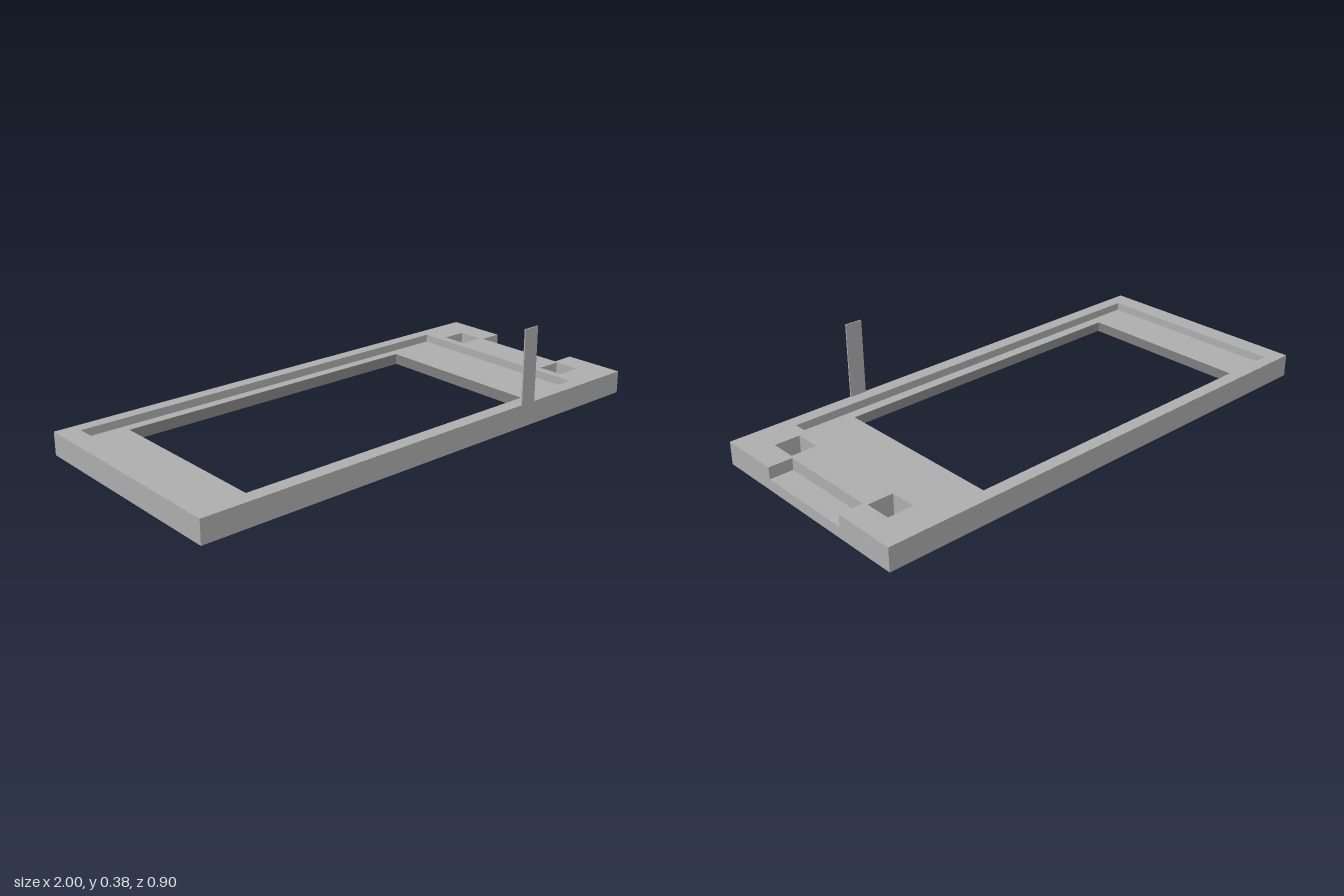
import * as THREE from 'three';

// Rectangle as a loop of [x, z], ordered so its walls face outward
const rect = (x0, x1, z0, z1) => [[x0, z1], [x1, z1], [x1, z0], [x0, z0]];
const reversed = (loop) => [...loop].reverse();

// Ring of flat walls joining a lower loop to an upper loop
function wallGeometry(low, yLow, high, yHigh) {
  const pos = [];
  low.forEach((p, i) => {
    const j = (i + 1) % low.length;
    const a = [low[i][0], yLow, low[i][1]], b = [low[j][0], yLow, low[j][1]];
    const c = [high[j][0], yHigh, high[j][1]], d = [high[i][0], yHigh, high[i][1]];
    pos.push(...a, ...b, ...c, ...a, ...c, ...d);
  });
  const g = new THREE.BufferGeometry();
  g.setAttribute('position', new THREE.Float32BufferAttribute(pos, 3));
  g.computeVertexNormals();
  return g;
}

// Horizontal face with holes, facing up (dir = 1) or down (dir = -1)
function faceGeometry(loop, holes, y, dir) {
  const pts = (l) => l.map(([x, z]) => new THREE.Vector2(x, -dir * z));
  const shape = new THREE.Shape(pts(loop));
  shape.holes = holes.map((h) => new THREE.Path(pts(h)));
  return new THREE.ShapeGeometry(shape).rotateX(-dir * Math.PI / 2).translate(0, y, 0);
}

export function createModel() {
  const model = new THREE.Group();
  model.name = 'displayBezel';
  const grey = new THREE.MeshStandardMaterial({ color: 0xb0b0b0 });
  grey.name = 'grey plastic';

  const add = (name, geometry) => {
    const mesh = new THREE.Mesh(geometry, grey);
    mesh.name = name;
    model.add(mesh);
  };

  // Levels
  const top = 0.089, ledge = 0.058, notchY = 0.043;

  // Outlines seen from above
  const outer = rect(-1, 1, -0.45, 0.45);
  const notch = rect(0.907, 1, -0.197, 0.204);
  const notched = [[-1, 0.45], [1, 0.45], [1, 0.204], [0.907, 0.204],
    [0.907, -0.197], [1, -0.197], [1, -0.45], [-1, -0.45]];
  const recess = rect(-0.922, 0.765, -0.4, 0.395);
  const windowTop = rect(-0.754, 0.544, -0.36, 0.352);
  const windowBottom = rect(-0.784, 0.574, -0.39, 0.382);
  const holes = [-0.265, 0.27].map((z) => rect(0.8, 0.9, z - 0.052, z + 0.052));

  // Horizontal faces
  add('topRim', faceGeometry(notched, [recess, ...holes], top, 1));
  add('recessFloor', faceGeometry(recess, [windowTop], ledge, 1));
  add('notchFloor', faceGeometry(notch, [], notchY, 1));
  add('underside', faceGeometry(outer, [windowBottom, ...holes], 0, -1));

  // Outer and inner walls
  add('lowerOuterWall', wallGeometry(outer, 0, outer, notchY));
  add('upperOuterWall', wallGeometry(notched, notchY, notched, top));
  add('recessWall', wallGeometry(reversed(recess), ledge, reversed(recess), top));
  add('windowBevel', wallGeometry(reversed(windowBottom), 0, reversed(windowTop), ledge));
  holes.forEach((h) => add('squareHoleWall', wallGeometry(reversed(h), 0, reversed(h), top)));

  // Thin upright tab on the front edge
  const tabHeight = 0.381 - top;
  add('uprightTab', new THREE.BoxGeometry(0.068, tabHeight, 0.005)
    .translate(0.457, top + tabHeight / 2, 0.4475));

  return model;
}
